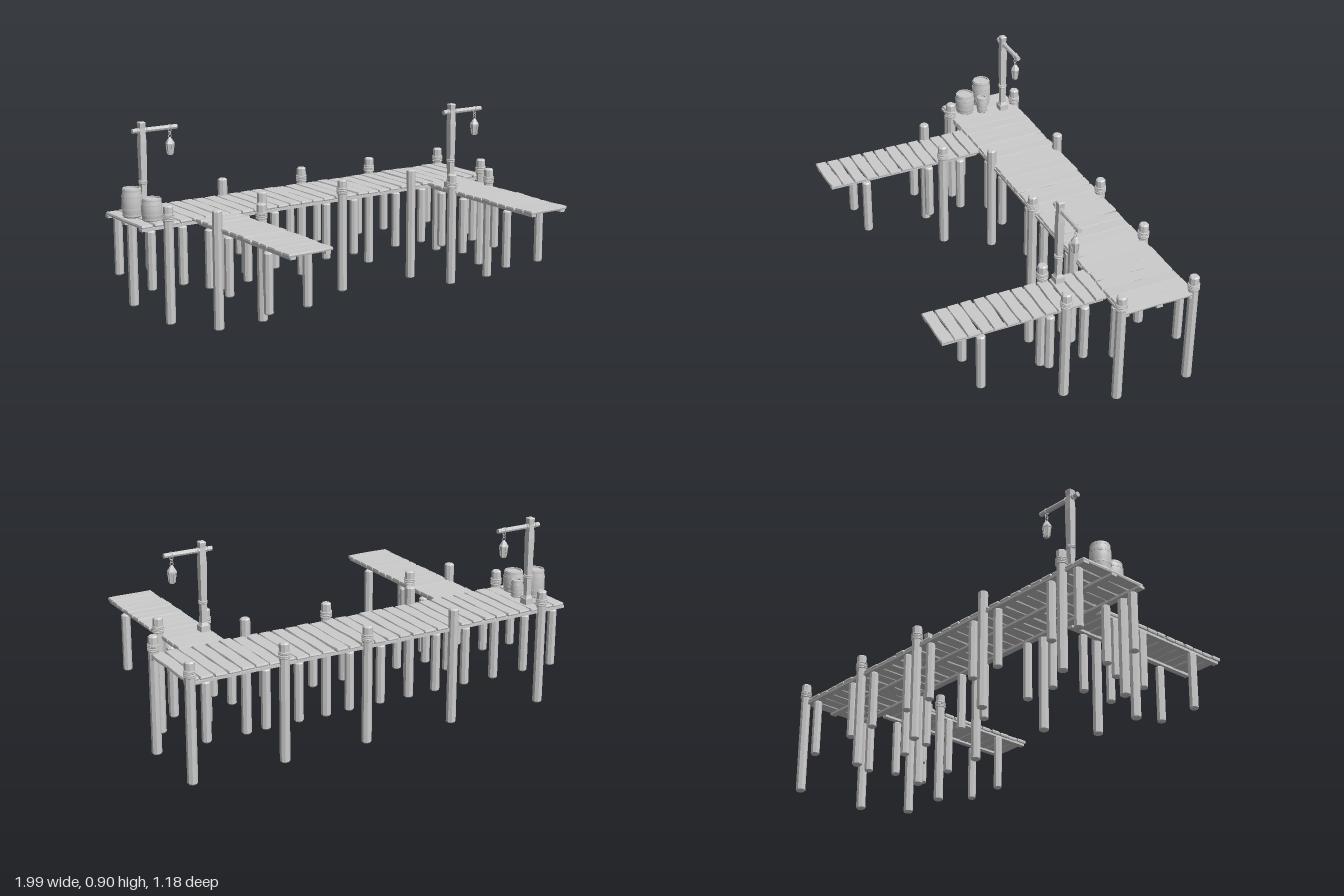
import * as THREE from 'three';

const flat = new THREE.MeshStandardMaterial({ color: 0xcccccc, flatShading: true });
const smooth = new THREE.MeshStandardMaterial({ color: 0xcccccc });

let seed = 7;
const rand = () => {
  seed = (seed * 16807) % 2147483647;
  return seed / 2147483647;
};
const jitter = (a) => (rand() - 0.5) * 2 * a;

function add(parent, name, geometry, x, y, z, material = flat) {
  const mesh = new THREE.Mesh(geometry, material);
  mesh.name = name;
  mesh.position.set(x, y, z);
  parent.add(mesh);
  return mesh;
}

const lathe = (points, sides) =>
  new THREE.LatheGeometry(points.map(([r, y]) => new THREE.Vector2(r, y)), sides);

// Worn plank along z: chamfered long edges and slightly wavy sides
function plankGeometry(width, height, length) {
  const g = new THREE.BoxGeometry(width, height, length, 3, 2, 6);
  const p = g.attributes.position;
  const phase = rand() * 6.28;
  for (let i = 0; i < p.count; i++) {
    let x = p.getX(i), y = p.getY(i), z = p.getZ(i);
    const side = Math.abs(x) > width * 0.49;
    const end = Math.abs(z) > length * 0.49;
    const face = Math.abs(y) > height * 0.49;
    if (side && face) x *= 0.92;
    if (end && face) z *= 0.985;
    if (side && end) x *= 0.94;
    if (side) x += Math.sin(z * 28 + phase + Math.sign(x)) * 0.0018;
    p.setXYZ(i, x, y, z);
  }
  return g;
}

// Octagonal pile with bevelled ends
function pile(parent, name, x, z, bottom, top, r) {
  const b = 0.006;
  const mesh = add(parent, name, lathe([
    [0, bottom], [r - b, bottom], [r, bottom + b], [r, top - b], [r - b, top], [0, top],
  ], 8), x, 0, z);
  mesh.rotation.y = Math.PI / 8;
}

// Coils of rope wound round an upright
function rope(parent, x, y, z, r, turns) {
  for (let i = 0; i < turns; i++) {
    const coil = add(parent, 'ropeCoil', new THREE.TorusGeometry(r, 0.0045, 6, 16),
      x, y + i * 0.008, z, smooth);
    coil.rotation.set(Math.PI / 2 + jitter(0.06), jitter(0.06), 0);
  }
}

function mooringPost(parent, x, z, roped) {
  pile(parent, 'mooringPost', x, z, 0, 0.56, 0.0235);
  if (roped) rope(parent, x, 0.493, z, 0.0235, 4);
}

const shortPile = (parent, x, z) => pile(parent, 'supportPile', x, z, 0.17, 0.45, 0.0215);

function lamp(x, z) {
  const g = new THREE.Group();
  g.name = 'lampPost';
  g.position.set(x, 0, z);
  // Foot and upright with a slightly flared head
  add(g, 'lampFoot', new THREE.BoxGeometry(0.044, 0.028, 0.044), 0, 0.492, 0);
  const s = Math.SQRT2 / 2;
  const upright = add(g, 'lampUpright', lathe([
    [0, 0.48], [0.027 * s * 1.4, 0.505], [0.025 * s, 0.52], [0.023 / s / 1.4, 0.8],
    [0.018, 0.87], [0.022, 0.895], [0.018, 0.899], [0, 0.899],
  ], 4), 0, 0, 0);
  upright.rotation.y = Math.PI / 4;
  rope(g, 0, 0.611, 0, 0.0175, 2);
  // Crossarm with lashing
  const arm = add(g, 'lampArm', new THREE.CylinderGeometry(0.0115, 0.0115, 0.235, 8), 0.068, 0.859, 0);
  arm.rotation.z = Math.PI / 2;
  for (const dx of [-0.024, 0.022, 0.148]) {
    const lash = add(g, 'armLashing', new THREE.TorusGeometry(0.012, 0.003, 5, 12), dx, 0.859, 0, smooth);
    lash.rotation.y = Math.PI / 2;
  }
  // Chain links
  for (let i = 0; i < 3; i++) {
    const link = add(g, 'chainLink', new THREE.TorusGeometry(0.008, 0.002, 5, 10),
      0.148, 0.843 - i * 0.013, 0, smooth);
    link.rotation.y = (i % 2) * Math.PI / 2;
  }
  // Tapered lantern under a hipped cap
  add(g, 'lanternBody', lathe([
    [0, 0.727], [0.011, 0.727], [0.013, 0.735], [0.018, 0.778], [0, 0.778],
  ], 6), 0.148, 0, 0);
  add(g, 'lanternCap', lathe([
    [0, 0.776], [0.022, 0.776], [0.022, 0.783], [0.012, 0.8], [0.005, 0.81], [0, 0.81],
  ], 6), 0.148, 0, 0);
  for (let i = 0; i < 6; i++) {
    const a = i * Math.PI / 3;
    const bar = add(g, 'lanternBar', new THREE.BoxGeometry(0.003, 0.046, 0.003),
      0.148 + Math.sin(a) * 0.0165, 0.755, Math.cos(a) * 0.0165);
    bar.rotation.set(Math.cos(a) * 0.12, 0, -Math.sin(a) * 0.12);
  }
  return g;
}

function barrel(x, z, r, h) {
  const g = new THREE.Group();
  g.name = 'barrel';
  g.position.set(x, 0.478, z);
  const bulge = (t) => r * (0.86 + 0.14 * Math.sin(Math.PI * t));
  const wall = [];
  for (let i = 0; i <= 8; i++) wall.push([bulge(i / 8), h * i / 8]);
  const lid = h - 0.007;
  add(g, 'staves', lathe([[0, 0], ...wall], 20), 0, 0, 0, smooth);
  add(g, 'rim', lathe([[bulge(1), h], [bulge(1) - 0.006, h], [bulge(1) - 0.006, lid]], 20), 0, 0, 0);
  add(g, 'lid', lathe([[bulge(1) - 0.005, lid], [0, lid]], 20), 0, 0, 0);
  for (const t of [0.08, 0.3, 0.7, 0.92]) {
    const rr = bulge(t) + 0.0015, d = h * 0.035;
    add(g, 'hoop', lathe([[rr - 0.003, h * t - d], [rr, h * t - d], [rr, h * t + d], [rr - 0.003, h * t + d]], 20), 0, 0, 0);
  }
  return g;
}

export function createModel() {
  const model = new THREE.Group();
  model.name = 'dock';

  // Main walkway: cross planks on long stringers
  const deck = new THREE.Group();
  deck.name = 'mainDeck';
  model.add(deck);
  const count = 30, pitch = 1.985 / count;
  for (let i = 0; i < count; i++) {
    const plank = add(deck, 'deckPlank', plankGeometry(pitch - 0.004, 0.015, 0.358 + jitter(0.004)),
      -0.995 + pitch * (i + 0.5), 0.471 + jitter(0.002), -0.39 + jitter(0.002));
    plank.rotation.set(0, jitter(0.008), jitter(0.03));
  }
  for (const z of [-0.555, -0.39, -0.225]) {
    add(deck, 'stringer', new THREE.BoxGeometry(1.98, 0.012, 0.03), -0.004, 0.458, z);
  }

  // Deck piles: a tall post with short piles either side of it
  const roped = { '-0.86': [1, 1], '-0.36': [0, 0], '0.1': [1, 1], '0.52': [1, 0], '0.97': [1, 1] };
  for (const x of [-0.86, -0.36, 0.1, 0.52, 0.97]) {
    [-0.567, -0.206].forEach((z, i) => {
      mooringPost(deck, x, z, roped[x][i]);
      const inner = i ? -0.226 : -0.55;
      shortPile(deck, x - 0.08, inner);
      if (x < 0.9) shortPile(deck, x + 0.083, inner);
    });
  }

  // Two finger piers
  for (const [cx, leftRope, rightRope] of [[-0.608, 0, 1], [0.735, 1, 1]]) {
    const pier = new THREE.Group();
    pier.name = 'fingerPier';
    model.add(pier);
    const n = 13, step = 0.795 / n;
    for (let i = 0; i < n; i++) {
      const plank = add(pier, 'pierPlank', plankGeometry(step - 0.004, 0.015, 0.225 + jitter(0.004)),
        cx + jitter(0.002), 0.471 + jitter(0.002), -0.207 + step * (i + 0.5));
      plank.rotation.set(0, Math.PI / 2 + jitter(0.015), jitter(0.03), 'YXZ');
    }
    for (const s of [-1, 1]) {
      add(pier, 'stringer', new THREE.BoxGeometry(0.026, 0.012, 0.77), cx + s * 0.09, 0.458, 0.195);
      mooringPost(pier, cx + s * 0.117, 0, s < 0 ? leftRope : rightRope);
      for (const z of [0.4, 0.07, -0.1]) shortPile(pier, cx + s * 0.101, z);
    }
  }

  // Lamps and barrels
  model.add(lamp(-0.835, -0.488), lamp(0.655, -0.06));
  model.add(barrel(-0.935, -0.412, 0.048, 0.136), barrel(-0.893, -0.3, 0.049, 0.104),
    barrel(-0.854, -0.38, 0.028, 0.084));
  return model;
}
